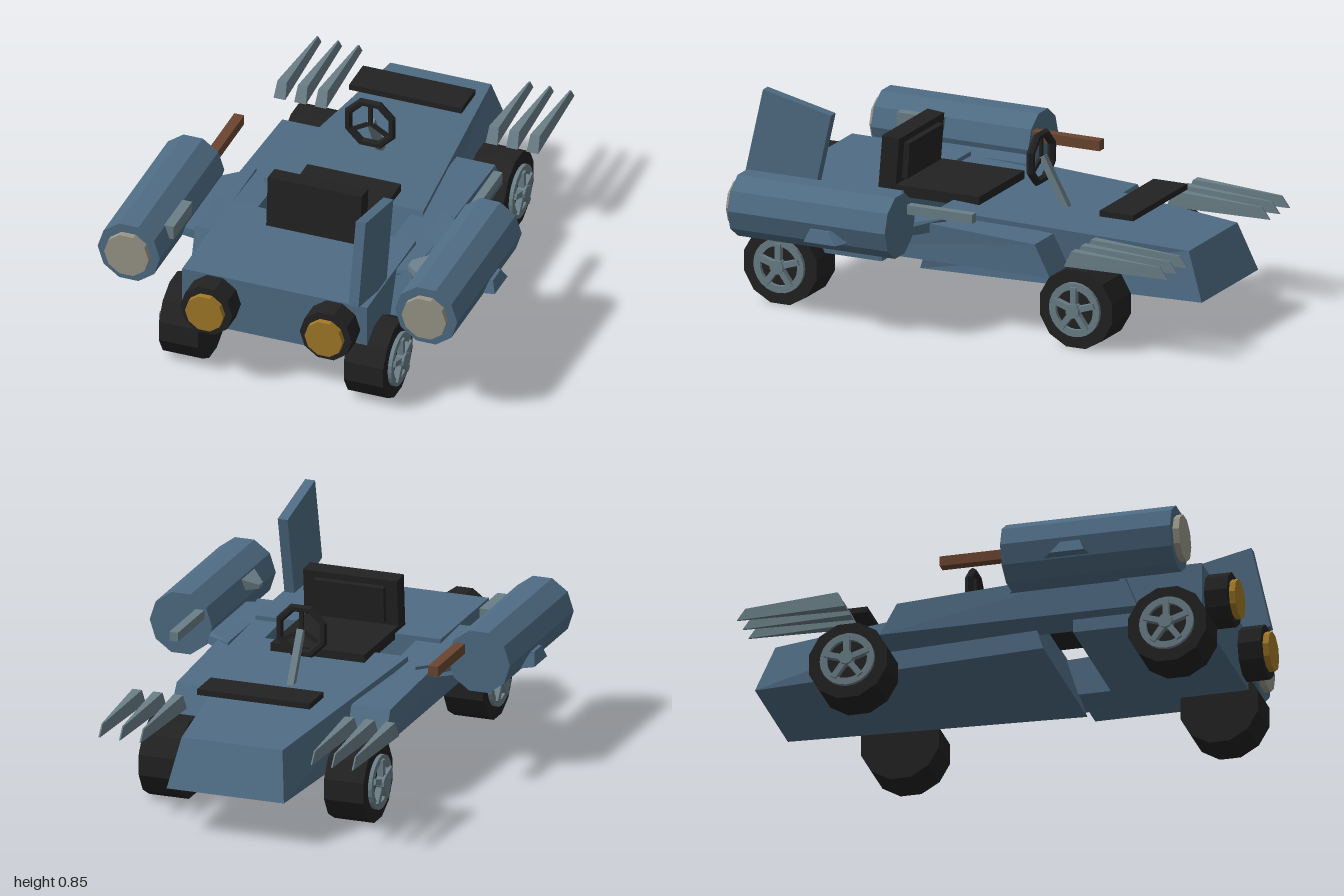
import * as THREE from 'three';

const mat = (name, color) => {
  const m = new THREE.MeshStandardMaterial({ color });
  m.name = name;
  return m;
};

export function createModel() {
  const car = new THREE.Group();
  car.name = 'kart';
  const blue = mat('bluePaint', 0x4f6c84);
  const black = mat('blackRubber', 0x222222);
  const steel = mat('steel', 0x6b7f88);
  const beige = mat('beigeMetal', 0x9a9789);
  const gold = mat('goldLens', 0xa37a28);
  const brown = mat('brownWood', 0x6b4530);

  const add = (name, geo, material, x = 0, y = 0, z = 0, parent = car) => {
    const flat = geo.index ? geo.toNonIndexed() : geo;
    flat.computeVertexNormals();
    const mesh = new THREE.Mesh(flat, material);
    mesh.name = name;
    mesh.position.set(x, y, z);
    parent.add(mesh);
    return mesh;
  };
  // Box given by its lower and upper limits on each axis
  const box = (name, m, x0, x1, y0, y1, z0, z1) =>
    add(name, new THREE.BoxGeometry(x1 - x0, y1 - y0, z1 - z0), m, (x0 + x1) / 2, (y0 + y1) / 2, (z0 + z1) / 2);

  // Six-sided block from a bottom and a top ring, anticlockwise from above
  const block = (name, m, bottom, top, side = 1) => {
    const place = ring => {
      const r = ring.map(([x, y, z]) => [x * side, y, z]);
      return side < 0 ? r.reverse() : r;
    };
    const b = place(bottom), t = place(top), pos = [];
    const quad = (p, q, r, s) => pos.push(...p, ...q, ...r, ...p, ...r, ...s);
    quad(t[0], t[1], t[2], t[3]);
    quad(b[3], b[2], b[1], b[0]);
    for (let i = 0; i < 4; i++) quad(b[i], b[(i + 1) % 4], t[(i + 1) % 4], t[i]);
    const g = new THREE.BufferGeometry();
    g.setAttribute('position', new THREE.Float32BufferAttribute(pos, 3));
    return add(name, g, m);
  };

  // Faceted drum along z from z0 to z1
  const drum = (name, m, r, x, y, z0, z1, sides = 10) => {
    const g = new THREE.CylinderGeometry(r, r, z1 - z0, sides);
    g.rotateY(Math.PI / 2).rotateX(Math.PI / 2);
    return add(name, g, m, x, y, (z0 + z1) / 2);
  };

  // Hull and deck
  block('hull', blue,
    [[-0.335, 0.19, 0.21], [0.335, 0.19, 0.21], [0.25, 0.19, -1], [-0.25, 0.19, -1]],
    [[-0.34, 0.448, 0.13], [0.34, 0.448, 0.13], [0.215, 0.385, -0.925], [-0.215, 0.385, -0.925]]);
  box('deck', blue, -0.395, 0.395, 0.215, 0.455, 0.35, 0.88);
  box('hoodPanel', black, -0.24, 0.24, 0.483, 0.507, -0.69, -0.54);

  // Seat
  box('seatBase', black, -0.2, 0.2, 0.43, 0.475, 0.015, 0.42);
  const back = box('seatBack', black, -0.2, 0.2, 0.45, 0.67, 0.38, 0.455);
  back.rotation.x = -0.08;
  const pad = box('seatPad', black, -0.15, 0.15, 0.49, 0.64, 0.355, 0.4);
  pad.rotation.x = -0.08;

  // Steering wheel with spokes and column
  const steering = new THREE.Group();
  steering.name = 'steeringWheel';
  steering.position.set(0, 0.61, -0.16);
  car.add(steering);
  add('steeringRim', new THREE.TorusGeometry(0.1, 0.017, 6, 8).rotateZ(Math.PI / 8), black, 0, 0, 0, steering);
  for (let i = 0; i < 3; i++) {
    const a = Math.PI / 2 + i * Math.PI * 2 / 3;
    const spoke = add('steeringSpoke', new THREE.BoxGeometry(0.1, 0.016, 0.012), black,
      Math.cos(a) * 0.05, Math.sin(a) * 0.05, 0, steering);
    spoke.rotation.z = a;
  }
  const column = add('steeringColumn', new THREE.BoxGeometry(0.028, 0.23, 0.028), steel, 0, 0.515, -0.222);
  column.rotation.x = 0.5;

  // Tilted tail fin
  const fin = add('tailFin', new THREE.BoxGeometry(0.042, 0.36, 0.31), blue, 0.368, 0.645, 0.77);
  fin.rotation.x = -0.22;

  for (const s of [-1, 1]) {
    // Side sill
    block('sill', blue,
      [[0.29, 0.27, 0.63], [0.46, 0.27, 0.63], [0.46, 0.27, -0.43], [0.29, 0.27, -0.43]],
      [[0.29, 0.448, 0.56], [0.465, 0.448, 0.56], [0.455, 0.4, -0.36], [0.29, 0.4, -0.36]], s);

    // Side drum on its tapered bracket
    block('drumBracket', blue,
      [[0.4, 0.385, 0.57], [0.79, 0.385, 0.5], [0.79, 0.385, 0.36], [0.4, 0.385, 0.06]],
      [[0.4, 0.435, 0.57], [0.775, 0.435, 0.48], [0.775, 0.435, 0.4], [0.4, 0.435, 0.06]], s);
    drum('sideDrum', blue, 0.133, s * 0.635, 0.457, 0.15, 0.85);
    drum('drumCap', beige, 0.095, s * 0.635, 0.457, 0.84, 0.876);

    // Round lamps
    drum('lampHousing', black, 0.111, s * 0.255, 0.345, 0.87, 0.975);
    drum('lampLens', gold, 0.081, s * 0.255, 0.345, 0.97, 1);

    // Tapered spikes
    for (const x of [0.365, 0.452, 0.54]) {
      block('spike', steel,
        [[x - 0.025, 0.365, -0.545], [x + 0.025, 0.365, -0.545], [x + 0.003, 0.365, -0.995], [x - 0.003, 0.365, -0.995]],
        [[x - 0.02, 0.43, -0.575], [x + 0.02, 0.43, -0.575], [x + 0.003, 0.412, -0.96], [x - 0.003, 0.412, -0.96]], s);
    }

    // Wheels with five-spoke rims
    for (const z of [-0.555, 0.76]) {
      const wheel = new THREE.Group();
      wheel.name = z > 0 ? 'rearWheel' : 'noseWheel';
      wheel.position.set(s * 0.395, 0.165, z);
      wheel.rotation.y = s * Math.PI / 2;
      car.add(wheel);
      add('tyre', new THREE.CylinderGeometry(0.166, 0.166, 0.168, 12).rotateX(Math.PI / 2)
        .rotateZ(Math.PI / 12), black, 0, 0, 0, wheel);
      const ring = new THREE.Shape().absarc(0, 0, 0.112, 0, Math.PI * 2);
      ring.holes.push(new THREE.Path().absarc(0, 0, 0.083, 0, Math.PI * 2, true));
      add('rimRing', new THREE.ExtrudeGeometry(ring, { depth: 0.02, bevelEnabled: false, curveSegments: 12 }),
        steel, 0, 0, 0.08, wheel);
      add('hub', new THREE.CylinderGeometry(0.03, 0.03, 0.04, 10).rotateX(Math.PI / 2), steel, 0, 0, 0.1, wheel);
      for (let i = 0; i < 5; i++) {
        const a = Math.PI / 2 + i * Math.PI * 0.4;
        const spoke = add('rimSpoke', new THREE.BoxGeometry(0.09, 0.024, 0.03), steel,
          Math.cos(a) * 0.05, Math.sin(a) * 0.05, 0.095, wheel);
        spoke.rotation.z = a;
      }
    }
  }

  // Rods and fittings on the drums
  box('woodRod', brown, -0.577, -0.535, 0.485, 0.527, -0.15, 0.2);
  box('steelRod', steel, 0.535, 0.572, 0.487, 0.525, -0.14, 0.2);
  box('drumHandle', steel, -0.535, -0.49, 0.48, 0.538, 0.53, 0.73);
  block('drumLever', steel,
    [[0.46, 0.49, 0.6], [0.53, 0.48, 0.68], [0.53, 0.48, 0.53], [0.46, 0.49, 0.56]],
    [[0.46, 0.505, 0.6], [0.53, 0.53, 0.68], [0.53, 0.53, 0.53], [0.46, 0.505, 0.56]]);

  return car;
}
